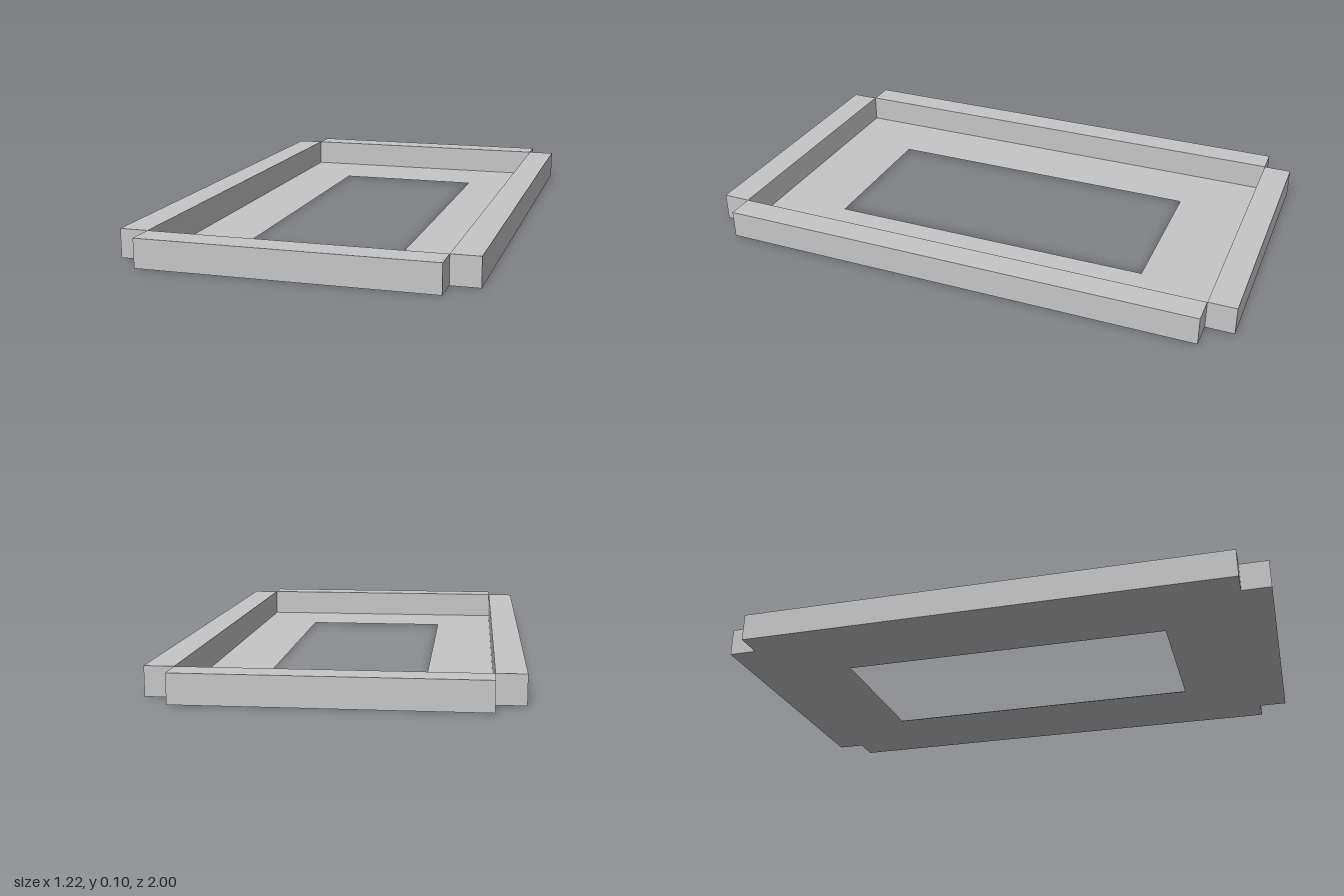
import * as THREE from 'three';

export function createModel() {
  const model = new THREE.Group();
  model.name = 'openFrame';
  const grey = new THREE.MeshStandardMaterial({ color: 0xc6c6c6, side: THREE.DoubleSide });
  grey.name = 'lightGrey';

  const height = 0.102;
  const innerX = 0.511, outerX = 0.612;
  const innerZ = 0.898, outerZ = 1;

  // Box rail of the given size, standing on the ground
  function rail(name, width, depth, x, z) {
    const mesh = new THREE.Mesh(new THREE.BoxGeometry(width, height, depth), grey);
    mesh.position.set(x, height / 2, z);
    mesh.name = name;
    model.add(mesh);
  }
  const sideX = (innerX + outerX) / 2, endZ = (innerZ + outerZ) / 2;
  for (const s of [1, -1]) {
    rail(s > 0 ? 'leftRail' : 'rightRail', outerX - innerX, innerZ * 2, s * sideX, 0);
    rail(s > 0 ? 'frontRail' : 'backRail', innerX * 2, outerZ - innerZ, 0, s * endZ);
  }

  // Thin floor sheet with a rectangular opening
  const rectangle = (x, z) => [[-x, -z], [x, -z], [x, z], [-x, z]]
    .map(([px, py]) => new THREE.Vector2(px, py));
  const sheet = new THREE.Shape(rectangle(innerX, innerZ));
  sheet.holes.push(new THREE.Path(rectangle(0.28, 0.612).reverse()));
  const floor = new THREE.Mesh(new THREE.ShapeGeometry(sheet).rotateX(-Math.PI / 2), grey);
  floor.name = 'floorSheet';
  model.add(floor);

  return model;
}
